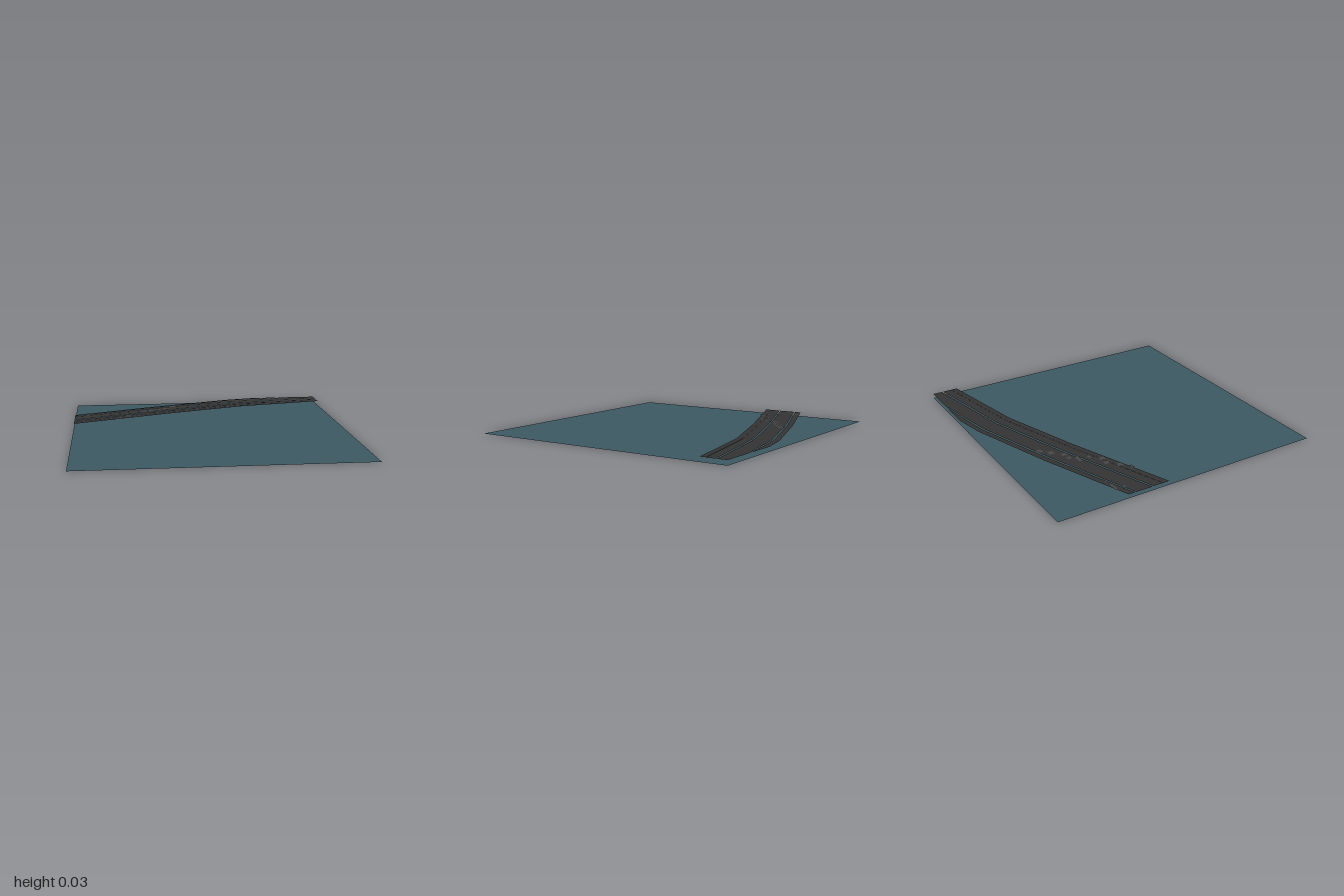
import * as THREE from 'three';

const groundMat = new THREE.MeshStandardMaterial({ color: 0x3d5863, side: THREE.DoubleSide });
const roadMat = new THREE.MeshStandardMaterial({ color: 0x333333, side: THREE.DoubleSide });
const patchMat = new THREE.MeshStandardMaterial({ color: 0x474747, side: THREE.DoubleSide });

// the road climbs very slightly towards +x
const roadHeight = (x) => 0.031 + 0.002 * x;

// flat polygon given as [x, z] corners, laid on the road slope
function surface(name, corners, material, lift = 0) {
  const shape = new THREE.Shape(corners.map(([x, z]) => new THREE.Vector2(x, -z)));
  const geometry = new THREE.ShapeGeometry(shape).rotateX(-Math.PI / 2);
  const pos = geometry.attributes.position;
  for (let i = 0; i < pos.count; i++) pos.setY(i, roadHeight(pos.getX(i)) + lift);
  geometry.computeVertexNormals();
  const mesh = new THREE.Mesh(geometry, material);
  mesh.name = name;
  return mesh;
}

// strip between a far and a near edge line
const strip = (name, far, near, lift) =>
  surface(name, [...far, ...[...near].reverse()], roadMat, lift);

const mixLine = (a, b, t) =>
  a.map(([x, z], i) => [x + (b[i][0] - x) * t, z + (b[i][1] - z) * t]);

export function createModel() {
  const group = new THREE.Group();

  // square ground sheet
  const ground = new THREE.Mesh(new THREE.PlaneGeometry(2, 2).rotateX(-Math.PI / 2), groundMat);
  ground.name = 'ground';
  group.add(ground);

  // far shoulder, cut off at the back edge of the ground
  group.add(strip('farShoulder',
    [[-1, -0.493], [-0.37, -0.74], [0.26, -0.955], [0.48, -1]],
    [[-1, -0.446], [-0.352, -0.702], [0.273, -0.917], [0.72, -1]], 0));

  // main carriageway, between two narrow gaps
  group.add(strip('carriageway',
    [[-1, -0.437], [-0.348, -0.692], [0.276, -0.906], [0.76, -1], [1, -1]],
    [[-1, -0.316], [-0.302, -0.586], [0.303, -0.792], [1, -0.929]], 0));

  // near shoulder, in three bands with tiny steps between them
  const far = [[-1, -0.306], [-0.298, -0.576], [0.306, -0.782], [1, -0.918]];
  const near = [[-1, -0.185], [-0.257, -0.472], [0.337, -0.675], [1, -0.807]];
  const cuts = [0, 0.47, 0.62, 1];
  for (let i = 0; i < 3; i++) {
    group.add(strip('nearShoulderBand' + (i + 1),
      mixLine(far, near, cuts[i]), mixLine(far, near, cuts[i + 1]), i === 1 ? -0.001 : 0));
  }

  // worn patches: centre x, centre z, width, depth
  const patches = [
    [-0.225, -0.72, 0.04, 0.04], [-0.284, -0.66, 0.04, 0.04],
    [-0.348, -0.595, 0.035, 0.035], [-0.407, -0.59, 0.03, 0.03],
    [-0.45, -0.54, 0.07, 0.025], [-0.466, -0.466, 0.03, 0.02],
    [-0.53, -0.404, 0.035, 0.035], [-0.59, -0.407, 0.035, 0.035],
    [-0.659, -0.343, 0.038, 0.038], [-0.72, -0.289, 0.035, 0.018],
    [-0.905, -0.466, 0.025, 0.016], [-0.878, -0.528, 0.075, 0.018],
    [-0.798, -0.535, 0.016, 0.016],
  ];
  for (const [x, z, w, d] of patches) {
    group.add(surface('patch', [
      [x - w / 2, z - d / 2], [x + w / 2, z - d / 2],
      [x + w / 2, z + d / 2], [x - w / 2, z + d / 2],
    ], patchMat, 0.0015));
  }
  return group;
}
